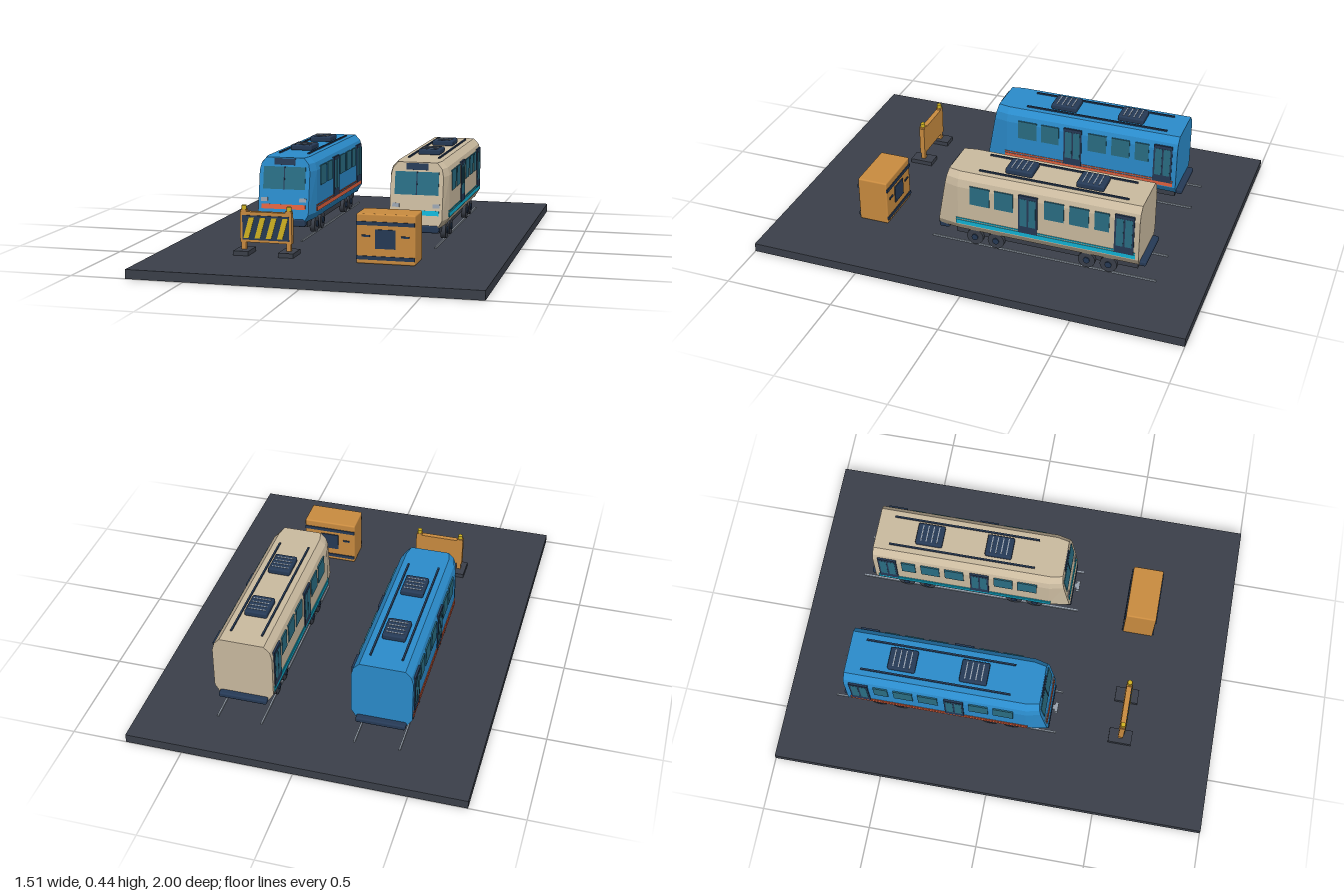
import * as THREE from 'three';
import { RoundedBoxGeometry } from 'three/addons/geometries/RoundedBoxGeometry.js';

const mat = (name, color) => {
  const m = new THREE.MeshStandardMaterial({ color });
  m.name = name;
  return m;
};

export function createModel() {
  const M = {
    asphalt: mat('asphalt', 0x3b404a),
    blue: mat('blue paint', 0x2b8ccc),
    cream: mat('cream paint', 0xcbbba0),
    navy: mat('navy trim', 0x263a56),
    glass: mat('teal glass', 0x2a6e84),
    cyan: mat('cyan stripe', 0x12b4d6),
    red: mat('coral stripe', 0xe0623f),
    orange: mat('orange paint', 0xca8c40),
    yellow: mat('yellow paint', 0xd2b422),
    steel: mat('steel', 0x98a2ae),
  };

  const add = (parent, name, geo, m, x = 0, y = 0, z = 0) => {
    const mesh = new THREE.Mesh(geo, m);
    mesh.name = name;
    mesh.position.set(x, y, z);
    parent.add(mesh);
    return mesh;
  };
  const box = (p, name, m, w, h, d, x, y, z) => add(p, name, new THREE.BoxGeometry(w, h, d), m, x, y, z);
  const rbox = (p, name, m, w, h, d, x, y, z, r = 0.008) =>
    add(p, name, new RoundedBoxGeometry(w, h, d, 2, r), m, x, y, z);

  // Chamfered body shell with a raked, tapered nose
  const REAR = -0.705, NOSE = 0.235, FLOOR = 0.12, RAKE = 0.171;
  function shellGeometry() {
    const half = [[0.113, 0.12], [0.135, 0.155], [0.135, 0.35], [0.126, 0.385], [0.1, 0.412]];
    const pts = [...half, ...half.map(([x, y]) => [-x, y]).reverse()];
    const shape = new THREE.Shape(pts.map(([x, y]) => new THREE.Vector2(x, y)));
    const geo = new THREE.ExtrudeGeometry(shape, { depth: 1, steps: 2, bevelEnabled: false });
    const p = geo.attributes.position;
    for (let i = 0; i < p.count; i++) {
      const t = p.getZ(i);
      if (t < 0.25) p.setZ(i, REAR);
      else if (t < 0.75) p.setZ(i, 0.13);
      else {
        p.setZ(i, NOSE - (p.getY(i) - FLOOR) * RAKE);
        p.setX(i, p.getX(i) * 0.89);
      }
    }
    geo.computeVertexNormals();
    return geo;
  }

  function tram(name, paint, accent, x) {
    const g = new THREE.Group();
    g.name = name;
    g.position.x = x;
    add(g, 'bodyShell', shellGeometry(), paint);
    box(g, 'chassis', M.asphalt, 0.19, 0.045, 0.85, 0, 0.108, -0.27);

    // Bumpers and couplers
    rbox(g, 'frontBumper', M.navy, 0.21, 0.035, 0.05, 0, 0.118, 0.212);
    rbox(g, 'rearBumper', M.navy, 0.22, 0.025, 0.04, 0, 0.123, -0.713);
    box(g, 'couplerBar', M.steel, 0.022, 0.018, 0.05, 0, 0.105, 0.235);
    box(g, 'couplerHead', M.steel, 0.045, 0.028, 0.016, 0, 0.105, 0.254);

    // Wheels with hubs
    for (const z of [0.06, -0.04, -0.465, -0.565]) {
      for (const s of [-1, 1]) {
        const wheel = new THREE.CylinderGeometry(0.039, 0.039, 0.024, 20).rotateZ(Math.PI / 2);
        add(g, 'wheel', wheel, M.asphalt, s * 0.1, 0.086, z);
        const hub = new THREE.CylinderGeometry(0.015, 0.015, 0.006, 12).rotateZ(Math.PI / 2);
        add(g, 'wheelHub', hub, M.navy, s * 0.114, 0.086, z);
      }
      const axle = new THREE.CylinderGeometry(0.008, 0.008, 0.2, 8).rotateZ(Math.PI / 2);
      add(g, 'axle', axle, M.asphalt, 0, 0.086, z);
    }

    // Side windows, doors and stripes, mirrored
    const windows = [[0.026, 0.092], [-0.087, 0.088], [-0.32, 0.09], [-0.434, 0.088], [-0.537, 0.066]];
    for (const s of [-1, 1]) {
      for (const [z, w] of windows)
        box(g, 'sideWindow', M.glass, 0.006, 0.092, w, s * 0.135, 0.318, z);
      for (const z of [-0.2, -0.638]) {
        box(g, 'door', M.navy, 0.009, 0.192, 0.088, s * 0.135, 0.275, z);
        for (const k of [-1, 1])
          box(g, 'doorGlass', M.glass, 0.006, 0.14, 0.032, s * 0.1375, 0.285, z + k * 0.02);
      }
      box(g, 'sideStripe', accent, 0.006, 0.02, 0.83, s * 0.135, 0.17, -0.275);
      box(g, 'sideStripeLine', accent, 0.006, 0.005, 0.83, s * 0.135, 0.188, -0.275);
      box(g, 'roofStrip', M.navy, 0.008, 0.009, 0.685, s * 0.07, 0.414, -0.2925);
    }

    // Nose details lie on the raked face
    const nose = new THREE.Group();
    nose.name = 'noseDetails';
    nose.position.set(0, FLOOR, NOSE);
    nose.rotation.x = -Math.atan(RAKE);
    g.add(nose);
    box(nose, 'windscreen', M.glass, 0.2, 0.104, 0.006, 0, 0.202, 0);
    box(nose, 'windscreenPillar', M.navy, 0.005, 0.104, 0.009, 0, 0.202, 0);
    box(nose, 'destinationPanel', M.navy, 0.1, 0.03, 0.008, 0, 0.277, 0);
    box(nose, 'noseStripe', accent, 0.21, 0.022, 0.006, 0, 0.07, 0);
    for (const s of [-1, 1])
      box(nose, 'headlight', M.steel, 0.032, 0.018, 0.009, s * 0.092, 0.102, 0);

    // Roof units with slats
    for (const z of [-0.453, -0.126]) {
      rbox(g, 'roofUnit', M.navy, 0.104, 0.028, 0.126, 0, 0.424, z);
      for (let i = 0; i < 4; i++)
        box(g, 'roofUnitSlat', M.steel, 0.08, 0.003, 0.005, 0, 0.438, z + (i - 1.5) * 0.025);
    }

    // Track
    for (const s of [-1, 1])
      box(g, 'rail', M.steel, 0.007, 0.008, 1.05, s * 0.1, 0.043, -0.255);
    return g;
  }

  function barrier() {
    const g = new THREE.Group();
    g.name = 'barrier';
    g.position.set(-0.277, 0, 0.57);
    box(g, 'board', M.orange, 0.235, 0.135, 0.024, 0, 0.16, 0);
    box(g, 'boardPanel', M.navy, 0.212, 0.108, 0.006, 0, 0.158, 0.0125);
    // Slanted warning stripes
    for (let i = 0; i < 4; i++) {
      const x = -0.098 + i * 0.051;
      const stripe = new THREE.Shape([
        [x, -0.046], [x + 0.024, -0.046], [x + 0.05, 0.046], [x + 0.026, 0.046],
      ].map(([a, b]) => new THREE.Vector2(a, b)));
      const geo = new THREE.ExtrudeGeometry(stripe, { depth: 0.003, bevelEnabled: false });
      add(g, 'warningStripe', geo, M.yellow, -0.003, 0.158, 0.015);
    }
    for (const s of [-1, 1]) {
      box(g, 'post', M.orange, 0.02, 0.18, 0.02, s * 0.102, 0.145, 0);
      add(g, 'lamp', new THREE.CylinderGeometry(0.011, 0.011, 0.024, 12), M.yellow, s * 0.102, 0.242, 0);
      box(g, 'lampCollar', M.orange, 0.026, 0.008, 0.026, s * 0.102, 0.232, 0);
      box(g, 'foot', M.asphalt, 0.068, 0.02, 0.108, s * 0.102, 0.05, 0);
    }
    return g;
  }

  function cabinet() {
    const g = new THREE.Group();
    g.name = 'equipmentCabinet';
    g.position.set(0.271, 0, 0.573);
    rbox(g, 'cabinetBody', M.orange, 0.256, 0.215, 0.142, 0, 0.147, 0, 0.007);
    // Bands, hatch and handles on front and back
    for (const s of [-1, 1]) {
      const z = s * 0.071;
      for (const y of [0.214, 0.066])
        box(g, 'band', M.navy, 0.252, 0.016, 0.009, 0, y, z);
      box(g, 'hatch', M.navy, 0.088, 0.082, 0.009, 0, 0.148, z);
      for (const k of [-1, 1])
        box(g, 'handle', M.navy, 0.034, 0.008, 0.009, k * 0.085, 0.16, z);
    }
    return g;
  }

  const root = new THREE.Group();
  root.name = 'tramDepot';
  box(root, 'ground slab', M.asphalt, 1.51, 0.04, 2, 0, 0.02, 0);
  root.add(tram('blueTram', M.blue, M.red, -0.31));
  root.add(tram('creamTram', M.cream, M.cyan, 0.31));
  root.add(barrier(), cabinet());
  return root;
}
